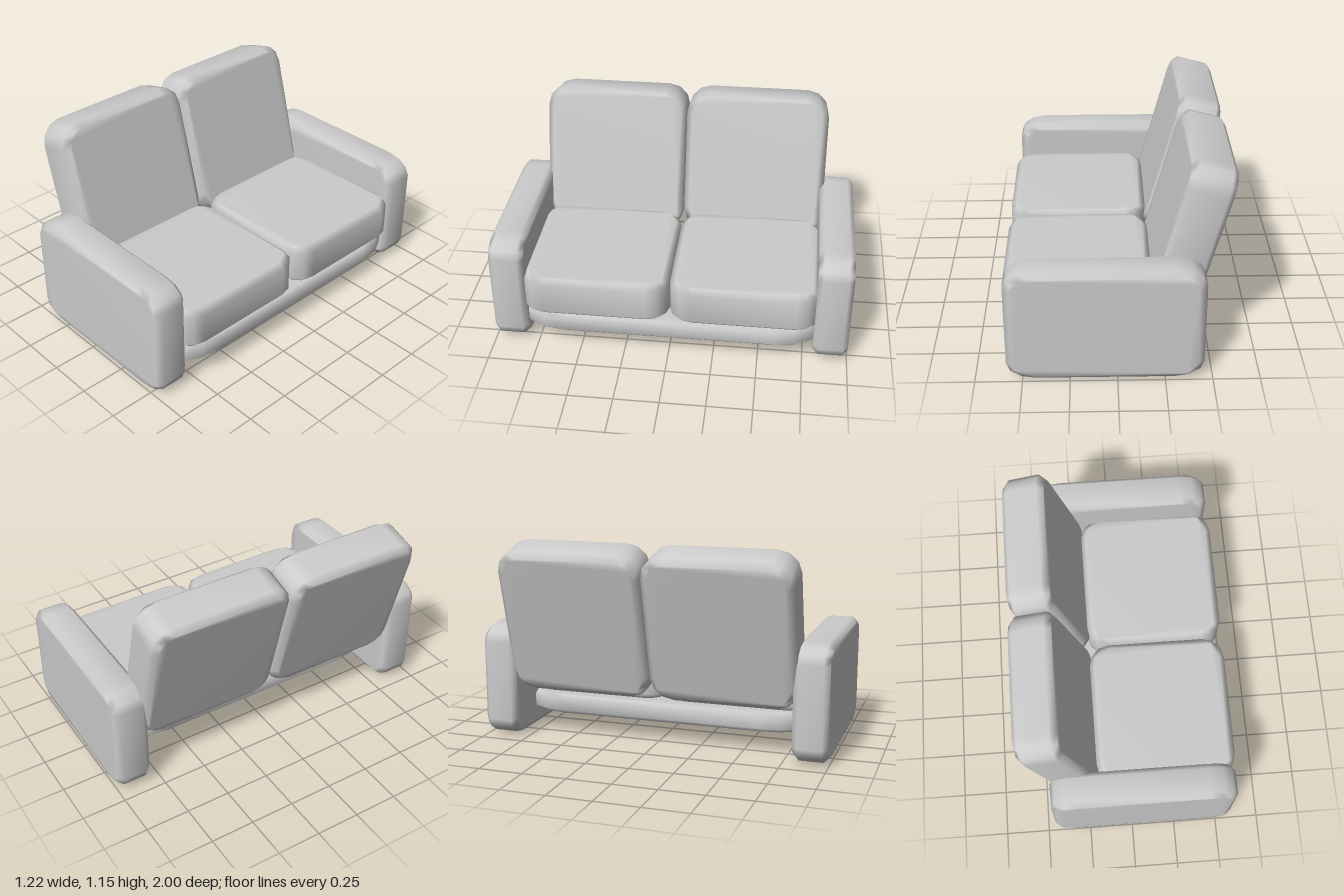
import * as THREE from 'three';
import { mergeVertices } from 'three/addons/utils/BufferGeometryUtils.js';

const material = new THREE.MeshStandardMaterial({ color: 0xcccccc });

// Padded slab: rounded rectangle (w x h) with elliptical corners, extruded
// along z with one chamfer, centred on the origin and smooth shaded
function padGeometry(w, h, depth, rx, ry, bevel) {
  const shape = new THREE.Shape();
  const corners = [[1, 1], [-1, 1], [-1, -1], [1, -1]];
  const points = [];
  corners.forEach(([sx, sy], q) => {
    for (let i = 0; i <= 3; i++) {
      const a = (q + i / 3) * Math.PI / 2;
      points.push(new THREE.Vector2(
        sx * (w / 2 - rx) + rx * Math.cos(a),
        sy * (h / 2 - ry) + ry * Math.sin(a)));
    }
  });
  shape.setFromPoints(points);
  const extruded = new THREE.ExtrudeGeometry(shape, {
    depth: depth - 2 * bevel, bevelEnabled: true, bevelSegments: 1,
    bevelThickness: bevel, bevelSize: bevel, bevelOffset: -bevel, steps: 1,
  });
  extruded.translate(0, 0, bevel - depth / 2);
  extruded.deleteAttribute('uv');
  extruded.deleteAttribute('normal');
  const geometry = mergeVertices(extruded, 1e-4);
  geometry.computeVertexNormals();
  return geometry;
}

export function createModel() {
  const group = new THREE.Group();
  const add = (name, geometry, x, y, z) => {
    const mesh = new THREE.Mesh(geometry, material);
    mesh.name = name;
    mesh.position.set(x, y, z);
    group.add(mesh);
    return mesh;
  };

  // Low platform between the arms
  const base = padGeometry(0.87, 1.66, 0.11, 0.13, 0.25, 0.022).rotateX(-Math.PI / 2);
  add('base', base, 0.175, 0.165, 0);

  const arm = padGeometry(1.04, 0.655, 0.195, 0.155, 0.098, 0.03);
  const seat = padGeometry(0.8, 0.83, 0.235, 0.12, 0.125, 0.03).rotateX(-Math.PI / 2);
  const back = padGeometry(0.83, 0.85, 0.245, 0.125, 0.127, 0.033).rotateY(Math.PI / 2);

  // Matching arm, seat cushion and reclined back cushion on each side
  for (const [side, s] of [['front', 1], ['rear', -1]]) {
    add(side + 'Arm', arm, 0.065, 0.3275, s * 0.9025);
    add(side + 'SeatCushion', seat, 0.21, 0.3375, s * 0.415);
    add(side + 'BackCushion', back, -0.392, 0.718, s * 0.415)
      .rotation.z = THREE.MathUtils.degToRad(15);
  }
  return group;
}
